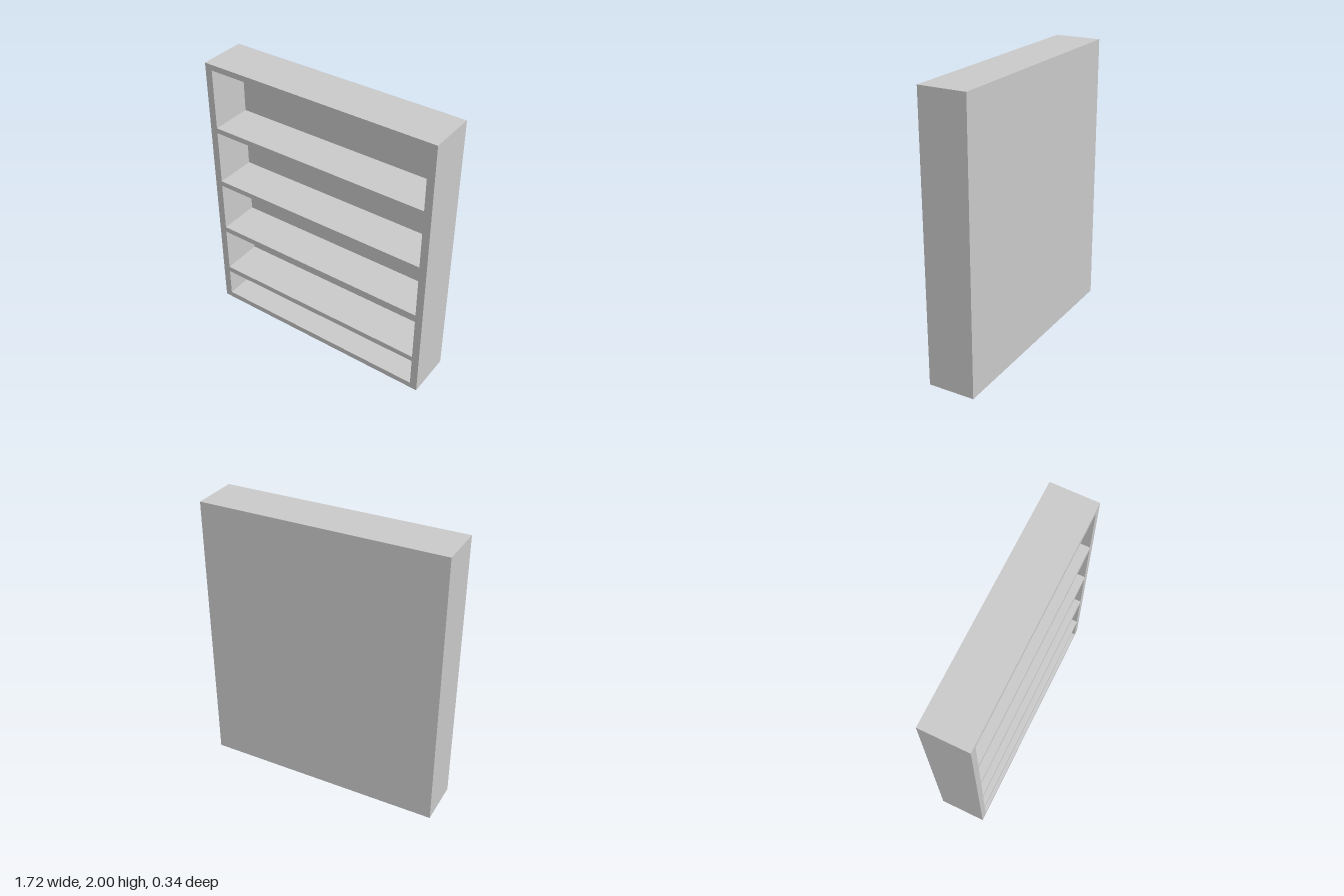
import * as THREE from 'three';

export function createModel() {
  const group = new THREE.Group();
  group.name = 'bookcase';
  const material = new THREE.MeshStandardMaterial({ color: 0xcccccc });

  const halfWidth = 0.861, innerHalf = 0.808, height = 2;
  const front = 0.168, back = -0.168, backInner = -0.133;

  // Board spanning the given limits on each axis
  const board = (name, [x0, x1], [y0, y1], [z0, z1]) => {
    const mesh = new THREE.Mesh(new THREE.BoxGeometry(x1 - x0, y1 - y0, z1 - z0), material);
    mesh.position.set((x0 + x1) / 2, (y0 + y1) / 2, (z0 + z1) / 2);
    mesh.name = name;
    group.add(mesh);
  };

  // Upright sides and back panel
  board('leftSide', [innerHalf, halfWidth], [0, height], [backInner, front]);
  board('rightSide', [-halfWidth, -innerHalf], [0, height], [backInner, front]);
  board('backPanel', [-halfWidth, halfWidth], [0, height], [back, backInner]);

  // Bottom, shelves with widening gaps, and top
  const levels = [
    ['bottom', 0, 0.043],
    ['shelf1', 0.258, 0.299],
    ['shelf2', 0.64, 0.681],
    ['shelf3', 1.052, 1.09],
    ['shelf4', 1.487, 1.525],
    ['top', 1.959, height],
  ];
  for (const [name, y0, y1] of levels) {
    board(name, [-innerHalf, innerHalf], [y0, y1], [backInner, front]);
  }
  return group;
}
